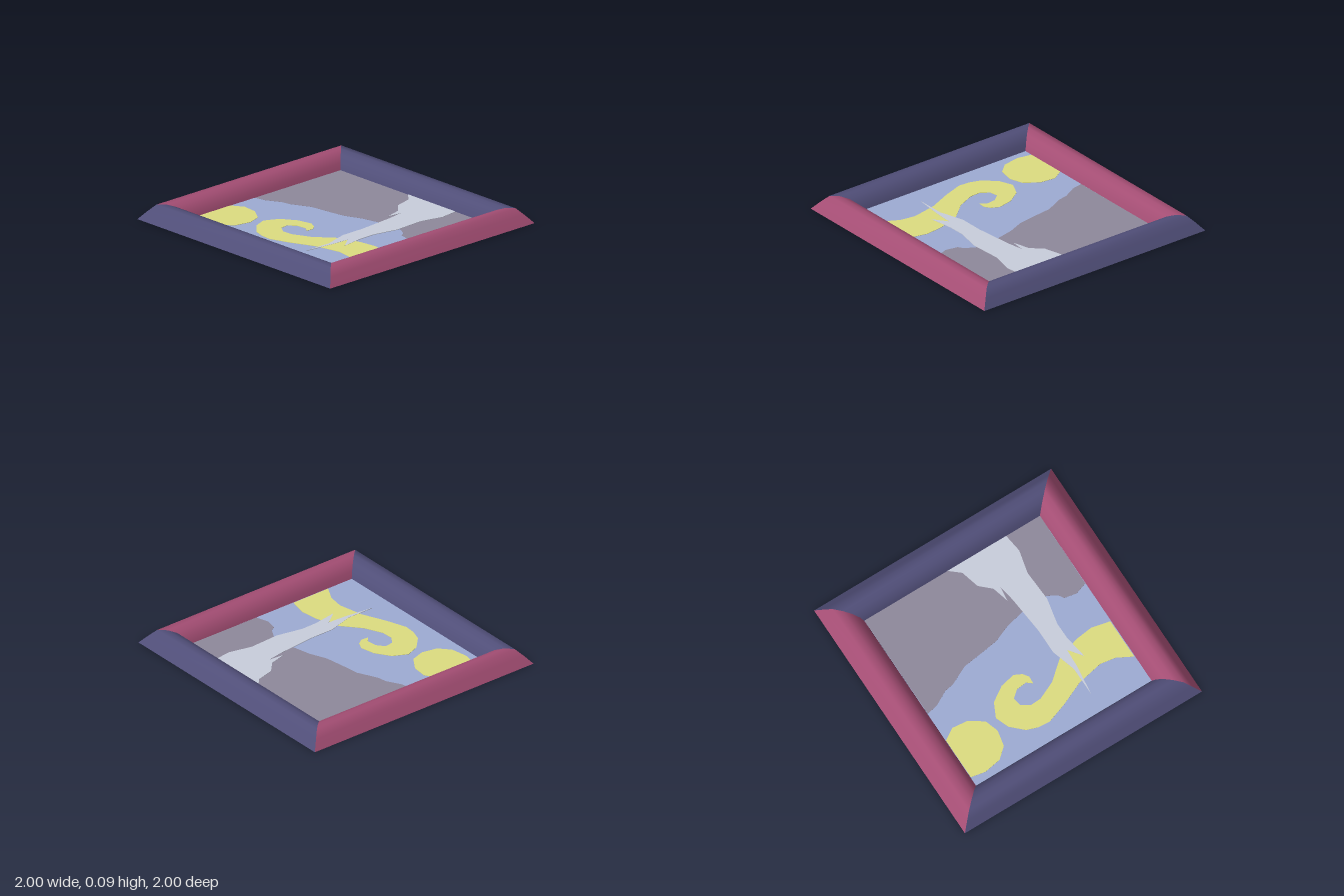
import * as THREE from 'three';

const OUTER = 0.816, INNER = 0.604, TURN = -Math.PI / 12, MID_Y = 0.004;

// Rail cross-section from the inner edge to the outer edge: [distance from centre, height]
const PROFILE = [
  [INNER, 0], [0.622, 0.042], [0.655, 0.077], [0.695, 0.092],
  [0.738, 0.091], [0.775, 0.05], [OUTER, 0],
];

const paint = (color) => new THREE.MeshStandardMaterial({ color, side: THREE.DoubleSide });

function named(name, geometry, material) {
  const mesh = new THREE.Mesh(geometry, material);
  mesh.name = name;
  return mesh;
}

// One mitred rail: every row of the plane follows the profile and widens outwards
function railGeometry() {
  const g = new THREE.PlaneGeometry(2, 2, 1, PROFILE.length - 1);
  const p = g.attributes.position;
  for (let i = 0; i < p.count; i++) {
    const [d, h] = PROFILE[Math.floor(i / 2)];
    p.setXYZ(i, Math.sign(p.getX(i)) * d, h, d);
  }
  g.computeVertexNormals();
  return g;
}

const square = (h) => [[-h, -h], [h, -h], [h, h], [-h, h]].map(([x, y]) => new THREE.Vector2(x, y));

// Flat piece of the picture, outlined in x,z; higher layers stand out slightly on both faces
function picturePiece(name, points, layer, color) {
  const shape = new THREE.Shape(points.map(([x, z]) => new THREE.Vector2(x, -z)));
  const depth = 0.002 + layer * 0.002;
  const g = new THREE.ExtrudeGeometry(shape, { depth, bevelEnabled: false });
  g.rotateX(-Math.PI / 2).translate(0, MID_Y - depth / 2, 0);
  return named(name, g, paint(color));
}

export function createModel() {
  const model = new THREE.Group();
  model.name = 'framedPicture';
  const purple = paint(0x504e78), pink = paint(0xa34d73);

  // Frame: four mitred rails in alternating colours
  const frame = new THREE.Group();
  frame.name = 'frame';
  frame.rotation.y = TURN;
  const rail = railGeometry();
  ['frontRail', 'leftRail', 'backRail', 'rightRail'].forEach((name, i) => {
    const mesh = named(name, rail, i % 2 ? pink : purple);
    mesh.rotation.y = i * Math.PI / 2;
    frame.add(mesh);
  });

  // Underside of the frame
  const ring = new THREE.Shape(square(OUTER));
  ring.holes.push(new THREE.Path(square(INNER)));
  frame.add(named('frameUnderside', new THREE.ShapeGeometry(ring).rotateX(Math.PI / 2), pink));
  model.add(frame);

  // Picture inside the frame
  const picture = new THREE.Group();
  picture.name = 'picture';
  const A = [-0.427, -0.74], B = [0.74, -0.427], C = [0.427, 0.74], D = [-0.74, 0.427];
  picture.add(picturePiece('sky', [A, B, C, D], 0, 0x9dabd3));
  picture.add(picturePiece('darkCloud', [
    A, B, [0.61, 0.05], [0.53, 0.055], [0.46, 0.02], [0.45, -0.015], [0.4, -0.065],
    [0.24, -0.1], [0.11, -0.105], [0, -0.09], [-0.13, -0.105], [-0.24, -0.12],
    [-0.37, -0.095], [-0.43, -0.1], [-0.53, -0.075], [-0.602, -0.08],
  ], 1, 0x8e889b));
  picture.add(picturePiece('yellowDisc', [
    [-0.653, 0.11], [-0.57, 0.085], [-0.48, 0.12], [-0.41, 0.2], [-0.405, 0.29],
    [-0.45, 0.38], [-0.53, 0.42], [-0.64, 0.41], [-0.722, 0.37],
  ], 2, 0xdcdc80));
  picture.add(picturePiece('yellowSwirl', [
    [-0.05, 0.245], [-0.035, 0.2], [-0.05, 0.16], [-0.09, 0.125], [-0.185, 0.12],
    [-0.29, 0.155], [-0.355, 0.23], [-0.345, 0.32], [-0.29, 0.41], [-0.23, 0.45],
    [-0.16, 0.475], [-0.025, 0.465], [0.135, 0.44], [0.3, 0.45], [0.39, 0.49], [0.469, 0.565],
    [0.535, 0.315], [0.43, 0.26], [0.32, 0.245], [0.165, 0.255], [0.03, 0.32],
    [-0.09, 0.34], [-0.16, 0.325], [-0.2, 0.28], [-0.195, 0.225], [-0.14, 0.2], [-0.075, 0.21],
  ], 2, 0xdcdc80));
  picture.add(picturePiece('whirlwind', [
    [0.125, -0.592], [0.175, -0.52], [0.175, -0.4], [0.225, -0.32], [0.225, -0.21],
    [0.26, -0.3], [0.25, -0.19], [0.21, 0.05], [0.17, 0.2], [0.175, 0.36], [0.13, 0.535],
    [0.2, 0.36], [0.235, 0.25], [0.275, 0.35], [0.29, 0.2], [0.315, 0.1], [0.39, -0.05],
    [0.43, -0.24], [0.5, -0.37], [0.515, -0.487],
  ], 3, 0xc8cddb));
  model.add(picture);
  return model;
}
